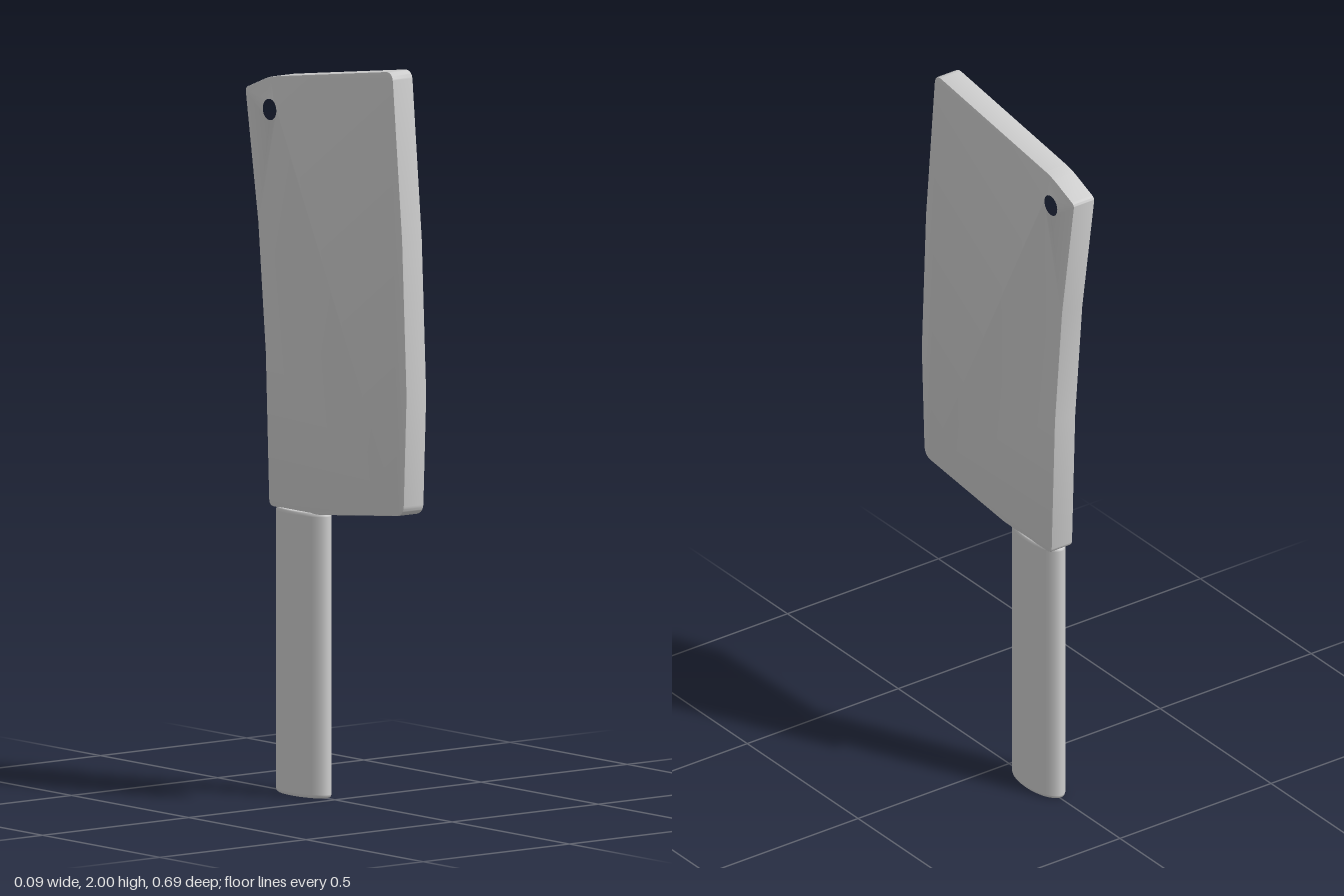
import * as THREE from 'three';
import { toCreasedNormals } from 'three/addons/utils/BufferGeometryUtils.js';

// Blade outline as [z, y, corner radius]; radius 0 is a plain vertex
const OUTLINE = [
  [-0.03, 0.768, 0], [-0.243, 0.768, 0.02], [-0.258, 1.18, 0], [-0.29, 1.53, 0],
  [-0.345, 1.886, 0.012], [-0.24, 1.928, 0.03], [0.283, 2.003, 0.03],
  [0.325, 1.55, 0], [0.344, 1.13, 0], [0.331, 0.808, 0.03],
];

function roundedOutline(points) {
  const shape = new THREE.Shape();
  points.forEach(([x, y, r], i) => {
    const p = new THREE.Vector2(x, y);
    const toward = (q) => p.clone().add(new THREE.Vector2(q[0], q[1]).sub(p).setLength(r));
    const a = r ? toward(points[(i + points.length - 1) % points.length]) : p;
    if (i === 0) shape.moveTo(a.x, a.y);
    else shape.lineTo(a.x, a.y);
    if (r) {
      const b = toward(points[(i + 1) % points.length]);
      shape.quadraticCurveTo(x, y, b.x, b.y);
    }
  });
  shape.closePath();
  return shape;
}

export function createModel() {
  const group = new THREE.Group();
  group.name = 'cleaver';
  const steel = new THREE.MeshStandardMaterial({ color: 0xcccccc });
  steel.name = 'steel';

  // Blade: thick plate with a hanging hole and finely bevelled edges
  const shape = roundedOutline(OUTLINE);
  const hole = new THREE.Path();
  hole.absarc(-0.24, 1.838, 0.032, 0, Math.PI * 2, true);
  shape.holes.push(hole);
  const bevel = 0.003;
  const bladeGeometry = new THREE.ExtrudeGeometry(shape, {
    depth: 0.069 - 2 * bevel, curveSegments: 12,
    bevelEnabled: true, bevelSize: bevel, bevelThickness: bevel,
    bevelOffset: -bevel, bevelSegments: 2,
  });
  bladeGeometry.translate(0, 0, -0.038 + bevel);
  bladeGeometry.rotateY(-Math.PI / 2);
  const blade = new THREE.Mesh(toCreasedNormals(bladeGeometry, 0.7), steel);
  blade.name = 'blade';
  group.add(blade);

  // Handle: oval bar with softened ends
  const R = 0.104, H = 0.77, f = 0.008;
  const profile = [[0, 0], [R - f - 0.002, 0], [R - f, 0], [R - 0.3 * f, 0.3 * f], [R, f], [R, f + 0.002],
    [R, H - f - 0.002], [R, H - f], [R - 0.3 * f, H - 0.3 * f], [R - f, H], [R - f - 0.002, H], [0, H]]
    .map(([x, y]) => new THREE.Vector2(x, y));
  const handleGeometry = new THREE.LatheGeometry(profile, 48);
  handleGeometry.scale(0.0445 / R, 1, 1);
  const handle = new THREE.Mesh(handleGeometry, steel);
  handle.name = 'handle';
  handle.position.set(-0.0015, 0, -0.131);
  group.add(handle);

  return group;
}
